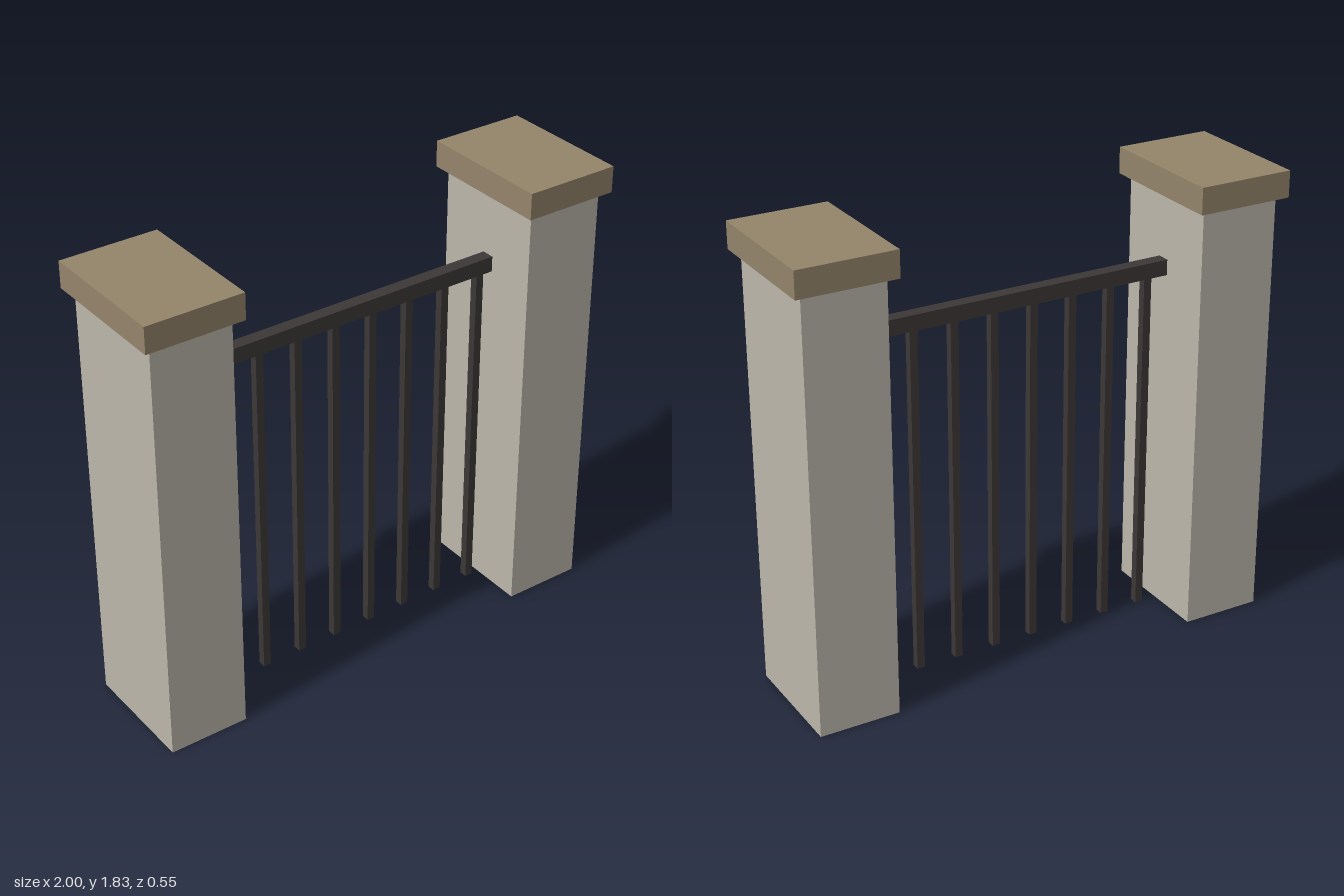
import * as THREE from 'three';

const stone = new THREE.MeshStandardMaterial({ color: 0xbdb8ac });
stone.name = 'pale stone';
const capstone = new THREE.MeshStandardMaterial({ color: 0x95856b });
capstone.name = 'tan capstone';
const iron = new THREE.MeshStandardMaterial({ color: 0x3e3838 });
iron.name = 'dark iron';

// Box whose bottom face rests at height y
function box(name, material, [w, h, d], [x, y, z]) {
  const mesh = new THREE.Mesh(new THREE.BoxGeometry(w, h, d), material);
  mesh.name = name;
  mesh.position.set(x, y + h / 2, z);
  return mesh;
}

export function createModel() {
  const model = new THREE.Group();
  model.name = 'fence';

  // Stone pillars with overhanging caps
  for (const [side, s] of [['left', 1], ['right', -1]]) {
    const pillar = new THREE.Group();
    pillar.name = side + 'Pillar';
    pillar.add(
      box('pillarShaft', stone, [0.322, 1.725, 0.482], [s * 0.805, 0, 0]),
      box('pillarCap', capstone, [0.388, 0.105, 0.55], [s * 0.806, 1.725, 0]),
    );
    model.add(pillar);
  }

  // Top rail and evenly spaced bars, set just forward of centre
  const railing = new THREE.Group();
  railing.name = 'railing';
  const railZ = 0.008;
  railing.add(box('topRail', iron, [1.288, 0.062, 0.052], [0, 1.402, railZ]));
  for (let i = 0; i < 8; i++) {
    railing.add(box('bar' + (i + 1), iron, [0.032, 1.402, 0.032], [-0.565 + i * 0.1658, 0, railZ]));
  }
  model.add(railing);

  return model;
}
